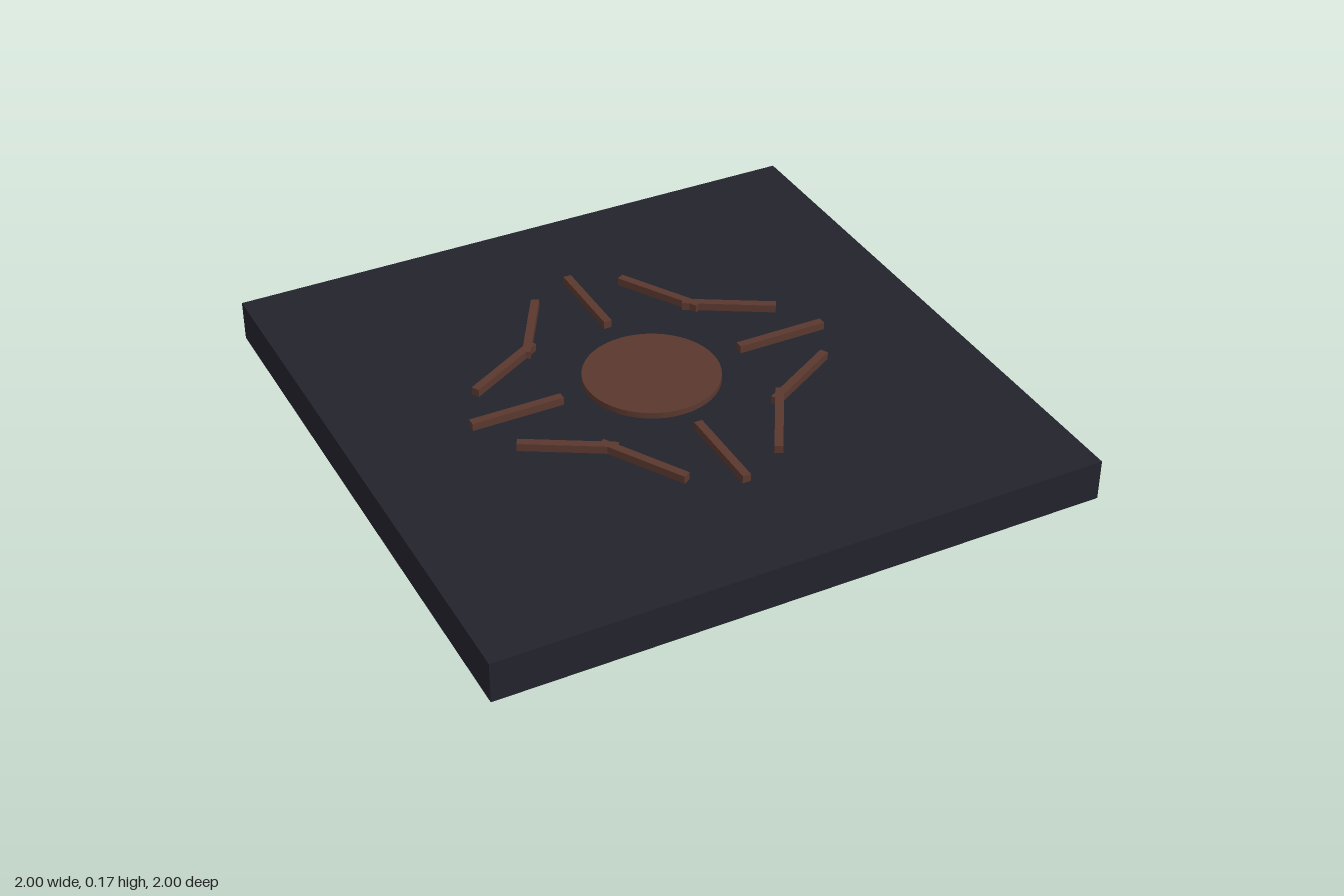
import * as THREE from 'three';

export function createModel() {
  const group = new THREE.Group();
  const slate = new THREE.MeshStandardMaterial({ color: 0x23232d });
  slate.name = 'dark slate';
  const brown = new THREE.MeshStandardMaterial({ color: 0x5a382e });
  brown.name = 'rust brown';

  const add = (name, geometry, material, x, y, z) => {
    const mesh = new THREE.Mesh(geometry, material);
    mesh.name = name;
    mesh.position.set(x, y, z);
    group.add(mesh);
    return mesh;
  };

  // Square base slab
  add('baseSlab', new THREE.BoxGeometry(2, 0.137, 2), slate, 0, 0.0685, 0);

  // Central disc, just proud of the slab
  add('centreDisc', new THREE.CylinderGeometry(0.22, 0.22, 0.02, 48), brown, 0, 0.15, 0);

  // Twelve bars in a ring; each turns opposite to its place on the circle,
  // so the diagonal ones pair up into chevrons
  const barGeometry = new THREE.BoxGeometry(0.306, 0.026, 0.027);
  const ringRadius = 0.463;
  for (let i = 0; i < 12; i++) {
    const angle = (i * Math.PI) / 6;
    const bar = add('rayBar' + (i + 1), barGeometry, brown,
      Math.cos(angle) * ringRadius, 0.158, Math.sin(angle) * ringRadius);
    bar.rotation.y = angle;
  }
  return group;
}
